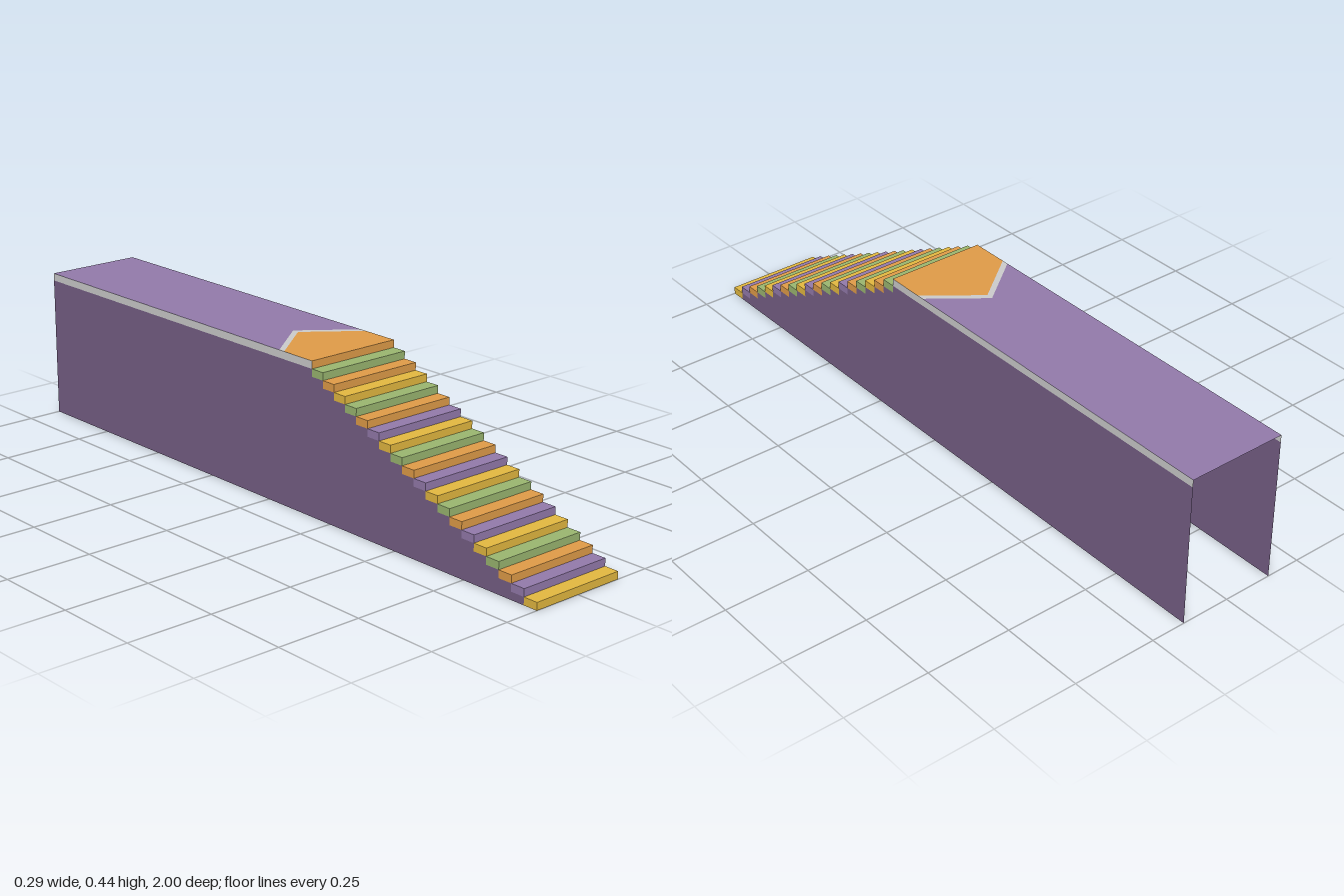
import * as THREE from 'three';

const W = 0.147, H = 0.4375, N = 20, RISE = H / N;
const LAND = 0.178, BACK = -1, RUN = (1 - LAND) / (N - 1);

const mat = (color) => new THREE.MeshStandardMaterial({ color, side: THREE.DoubleSide });
const purple = mat(0x937aab), orange = mat(0xe09c48), green = mat(0x9ab670), yellow = mat(0xe3b840);
const wallPurple = mat(0x765f86), grey = mat(0xcccccc);

// Flat panel from an outline of 2D points
function panel(name, points, material) {
  const shape = new THREE.Shape(points.map(([a, b]) => new THREE.Vector2(a, b)));
  const mesh = new THREE.Mesh(new THREE.ShapeGeometry(shape), material);
  mesh.name = name;
  return mesh;
}

// Upright panel at x, outline in (z, y); outward normal on its own side
function sidePanel(name, x, points, material) {
  const s = Math.sign(x);
  const mesh = panel(name, points.map(([z, y]) => [-s * z, y]), material);
  mesh.rotation.y = s * Math.PI / 2;
  mesh.position.x = x;
  return mesh;
}

// Level panel at height y, outline in (x, z)
function levelPanel(name, y, points, material) {
  const mesh = panel(name, points.map(([x, z]) => [x, -z]), material);
  mesh.rotation.x = -Math.PI / 2;
  mesh.position.y = y;
  return mesh;
}

function riser(i, z, material) {
  const y = i * RISE;
  const mesh = panel('riser', [[-W, y], [W, y], [W, y + RISE], [-W, y + RISE]], material);
  mesh.position.z = z;
  return mesh;
}

export function createModel() {
  const model = new THREE.Group();
  model.name = 'staircase';

  // Hollow steps: riser, tread and two end caps each
  const cycle = [yellow, purple, orange, green];
  const last = [yellow, orange, green];
  for (let i = 0; i < N - 1; i++) {
    const m = i < 16 ? cycle[i % 4] : last[i - 16];
    const z0 = 1 - i * RUN, z1 = z0 - RUN, y0 = i * RISE, y1 = y0 + RISE;
    const step = new THREE.Group();
    step.name = 'step';
    step.add(riser(i, z0, m), levelPanel('tread', y1, [[-W, z0], [W, z0], [W, z1], [-W, z1]], m));
    for (const x of [-W, W]) step.add(sidePanel('stepEnd', x, [[z0, y0], [z0, y1], [z1, y1], [z1, y0]], m));
    model.add(step);
  }

  // Side walls following the underside of the stairs, with a grey edge band on top
  const profile = [[BACK, 0], [1 - RUN, 0]];
  for (let i = 1; i < N; i++) {
    const z = 1 - i * RUN;
    profile.push([z, i * RISE]);
    if (i < N - 1) profile.push([z - RUN, i * RISE]);
  }
  profile.push([BACK, H - RISE]);
  for (const x of [-W, W]) {
    model.add(sidePanel('sideWall', x, profile, wallPurple));
    model.add(sidePanel('edgeBand', x, [[LAND, H - RISE], [LAND, H], [BACK, H], [BACK, H - RISE]], grey));
  }

  // Landing, chevron strip and deck lie flush
  const a = 0.066, b = 0.046, point = 0.114;
  model.add(riser(N - 1, LAND, orange));
  model.add(levelPanel('landing', H, [[-W, LAND], [W, LAND], [W, a], [0, a - point], [-W, a]], orange));
  model.add(levelPanel('chevron', H, [[-W, a], [0, a - point], [W, a], [W, b], [0, b - point], [-W, b]], grey));
  model.add(levelPanel('deck', H, [[-W, b], [0, b - point], [W, b], [W, BACK], [-W, BACK]], purple));
  return model;
}
